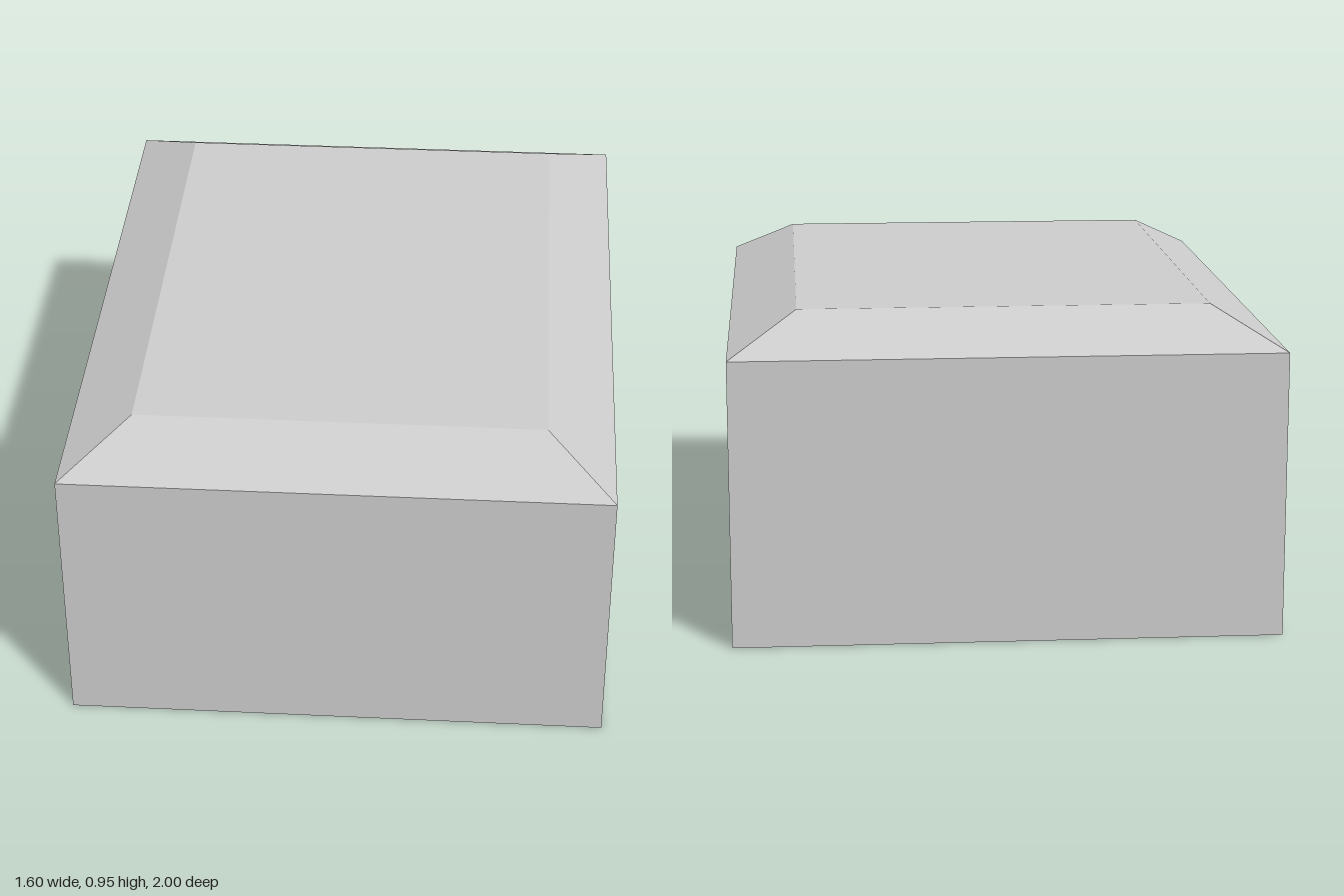
import * as THREE from 'three';

const WIDTH = 1.6, DEPTH = 2, HEIGHT = 0.95;
const SHOULDER = 0.84; // where the sloped rim starts
const INSET = 0.2;     // how far the flat top is set in on each side

// Box with straight walls and a sloped rim around a flat top
function bevelledBlock() {
  const box = new THREE.BoxGeometry(WIDTH, HEIGHT, DEPTH, 1, 2, 1);
  box.translate(0, HEIGHT / 2, 0);
  const p = box.attributes.position;
  for (let i = 0; i < p.count; i++) {
    const x = p.getX(i), y = p.getY(i), z = p.getZ(i);
    if (y > HEIGHT * 0.75) {
      p.setXYZ(i, x - Math.sign(x) * INSET, HEIGHT, z - Math.sign(z) * INSET);
    } else if (y > HEIGHT * 0.25) {
      p.setY(i, SHOULDER);
    }
  }
  const geometry = box.toNonIndexed();
  geometry.computeVertexNormals();
  return geometry;
}

export function createModel() {
  const group = new THREE.Group();
  group.name = 'bevelledBlock';
  const material = new THREE.MeshStandardMaterial({ color: 0xcccccc, flatShading: true });
  const block = new THREE.Mesh(bevelledBlock(), material);
  block.name = 'block';
  group.add(block);
  return group;
}
